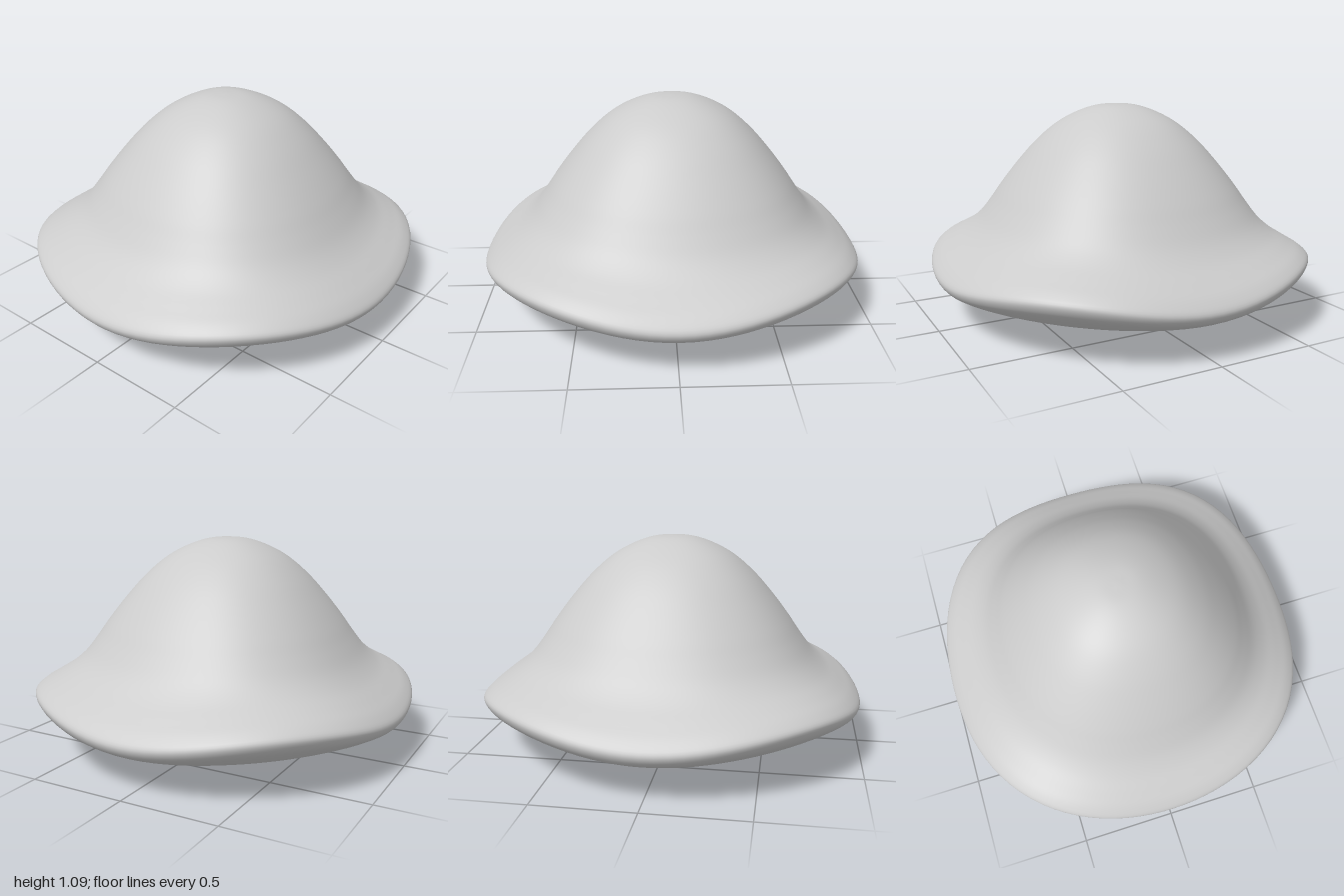
import * as THREE from 'three';
import { mergeVertices } from 'three/addons/utils/BufferGeometryUtils.js';

// Half profile [radius, height]: keel centre, out to the rim, up over the dome
const PROFILE = [
  [0, 0], [0.14, 0.006], [0.28, 0.02], [0.52, 0.06], [0.78, 0.12], [0.92, 0.175],
  [0.972, 0.21], [0.987, 0.25], [0.95, 0.3], [0.88, 0.355], [0.8, 0.415], [0.735, 0.48],
  [0.67, 0.57], [0.61, 0.66], [0.52, 0.78], [0.42, 0.895], [0.31, 0.99], [0.2, 1.05],
  [0.1, 1.082], [0, 1.09],
];

export function createModel() {
  const group = new THREE.Group();
  const curve = new THREE.CatmullRomCurve3(PROFILE.map(([r, y]) => new THREE.Vector3(r, y, 0)));
  const points = curve.getPoints(90).map((p) => new THREE.Vector2(Math.max(p.x, 0), Math.max(p.y, 0)));
  points[0].x = points[points.length - 1].x = 0;

  let geometry = new THREE.LatheGeometry(points, 96);
  const pos = geometry.attributes.position;
  for (let i = 0; i < pos.count; i++) {
    const x = pos.getX(i), y = pos.getY(i), z = pos.getZ(i);
    const r = Math.hypot(x, z);
    // 0 on the axes, 1 on the diagonals
    const corner = Math.sin(2 * Math.atan2(z, x)) ** 2;
    // Squarish outline, a little longer in z, with the brim corners turned up
    const swell = 1 + 0.035 * corner;
    pos.setXYZ(i, x * swell * 0.99, y + 0.075 * corner * r ** 4, z * swell * 1.012);
  }

  // Weld the seam so the surface shades smoothly all round
  geometry.deleteAttribute('uv');
  geometry.deleteAttribute('normal');
  geometry = mergeVertices(geometry, 1e-5);
  geometry.computeVertexNormals();

  const cap = new THREE.Mesh(geometry, new THREE.MeshStandardMaterial({ color: 0xcccccc }));
  cap.name = 'domedCapWithBrim';
  group.add(cap);
  return group;
}
